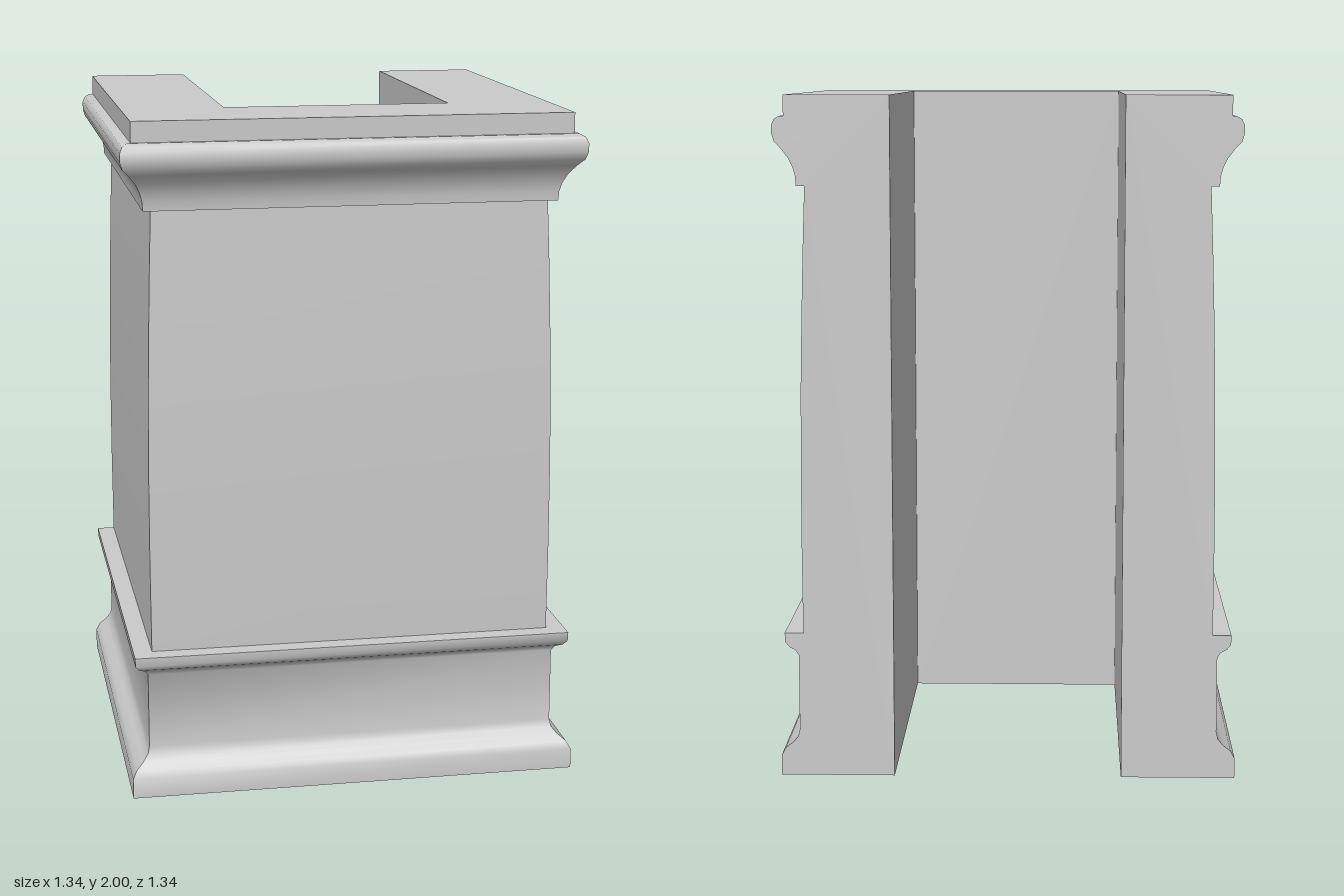
import * as THREE from 'three';
import { toCreasedNormals } from 'three/addons/utils/BufferGeometryUtils.js';

const BACK = -0.67;   // open rear ends of the two side legs
const INNER = 0.335;  // half width of the hollow
const TOP = 2;

// Profiles as [distance from centre, height], listed from bottom to top
const BASE = [
  [INNER, 0], [0.67, 0], [0.67, 0.06], [0.658, 0.082], [0.635, 0.1], [0.62, 0.118], [0.615, 0.14],
  [0.615, 0.365], [0.625, 0.38], [0.643, 0.39], [0.655, 0.405], [0.656, 0.432], [0.601, 0.432],
];
const SHAFT = [
  [0.601, 0.432], [0.602, 0.7], [0.601, 0.95], [0.598, 1.17], [0.593, 1.37], [0.587, 1.56], [0.58, 1.742],
];
const CORNICE = [
  [0.58, 1.742], [0.604, 1.742], [0.606, 1.77], [0.613, 1.795], [0.626, 1.822], [0.646, 1.848],
  [0.665, 1.868], [0.672, 1.89], [0.672, 1.915], [0.664, 1.932], [0.65, 1.94], [0.638, 1.94],
  [0.638, TOP], [INNER, TOP],
];
const LINING = [[INNER, TOP], [INNER, 0]];

const material = new THREE.MeshStandardMaterial({ color: 0xcccccc });

// Sweep a profile round the U-shaped plan with mitred front corners
function sweep(name, profile) {
  const stations = [
    o => [o, BACK], o => [o, o], o => [-o, o], o => [-o, BACK],
  ];
  const point = (s, [o, y]) => {
    const [x, z] = stations[s](o);
    return [x, y, z];
  };
  const positions = [];
  for (let s = 0; s < stations.length - 1; s++) {
    for (let i = 0; i < profile.length - 1; i++) {
      const a = point(s, profile[i]), b = point(s, profile[i + 1]);
      const c = point(s + 1, profile[i]), d = point(s + 1, profile[i + 1]);
      positions.push(...a, ...b, ...c, ...b, ...d, ...c);
    }
  }
  const geometry = new THREE.BufferGeometry();
  geometry.setAttribute('position', new THREE.Float32BufferAttribute(positions, 3));
  const mesh = new THREE.Mesh(toCreasedNormals(geometry, 0.75), material);
  mesh.name = name;
  return mesh;
}

// Flat face closing the rear of one leg with the full section
function endCap(side) {
  const section = [...BASE, ...SHAFT.slice(1), ...CORNICE.slice(1)];
  const shape = new THREE.Shape(section.map(([o, y]) => new THREE.Vector2(-side * o, y)));
  const geometry = new THREE.ShapeGeometry(shape);
  geometry.rotateY(Math.PI);
  geometry.translate(0, 0, BACK);
  const mesh = new THREE.Mesh(geometry, material);
  mesh.name = side > 0 ? 'leftEndCap' : 'rightEndCap';
  return mesh;
}

export function createModel() {
  const group = new THREE.Group();
  group.name = 'pilaster';
  group.add(
    sweep('baseMoulding', BASE),
    sweep('shaft', SHAFT),
    sweep('cornice', CORNICE),
    sweep('innerLining', LINING),
    endCap(1),
    endCap(-1),
  );
  return group;
}
